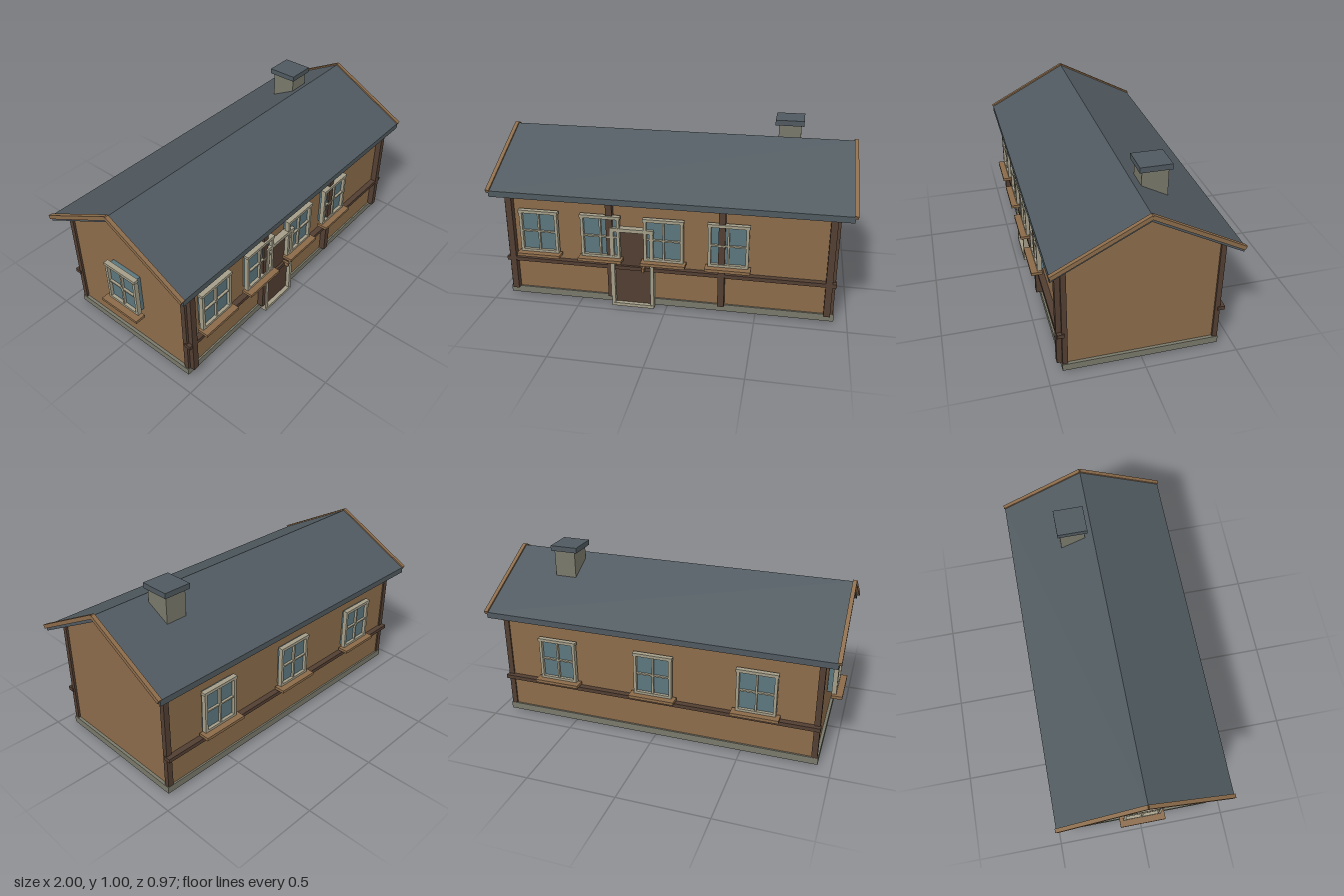
import * as THREE from 'three';

const mat = (name, color) => {
  const m = new THREE.MeshStandardMaterial({ color });
  m.name = name;
  return m;
};

export function createModel() {
  const house = new THREE.Group();
  house.name = 'cottage';

  const wood = mat('warm brown wood', 0x8b6b4a);
  const timber = mat('dark timber', 0x523e32);
  const slate = mat('slate', 0x4f595f);
  const stone = mat('grey stone', 0x78786a);
  const trim = mat('pale trim', 0xa39d88);
  const glass = mat('blue glass', 0x5b767e);

  // Box given by its extents along each axis
  const box = (parent, name, m, [x0, x1], [y0, y1], [z0, z1]) => {
    const mesh = new THREE.Mesh(new THREE.BoxGeometry(x1 - x0, y1 - y0, z1 - z0), m);
    mesh.position.set((x0 + x1) / 2, (y0 + y1) / 2, (z0 + z1) / 2);
    mesh.name = name;
    parent.add(mesh);
    return mesh;
  };

  // Gable section in (z, y), extruded along x and centred
  const gable = (name, m, points, length) => {
    const shape = new THREE.Shape(points.map(([z, y]) => new THREE.Vector2(z, y)));
    const geo = new THREE.ExtrudeGeometry(shape, { depth: length, bevelEnabled: false });
    geo.translate(0, 0, -length / 2);
    geo.rotateY(-Math.PI / 2);
    const mesh = new THREE.Mesh(geo, m);
    mesh.name = name;
    house.add(mesh);
  };

  // Walls and foundation
  gable('walls', wood, [[-0.41, 0.009], [0.41, 0.009], [0.41, 0.66], [0, 0.88], [-0.41, 0.66]], 1.82);
  box(house, 'foundation', stone, [-0.927, 0.927], [0.01, 0.05], [-0.42, 0.42]);

  // Roof with plumb-cut eaves
  gable('roof', slate, [[0, 0.88], [0.48, 0.628], [0.48, 0.662], [0, 0.915], [-0.48, 0.662], [-0.48, 0.628]], 1.97);

  // Bargeboards on both gable ends
  const slope = Math.atan(0.527);
  for (const sx of [-1, 1]) {
    for (const sz of [-1, 1]) {
      const board = box(house, 'bargeboard', wood, [-0.011, 0.011], [-0.011, 0.011], [-0.2725, 0.2725]);
      board.position.set(sx * 0.989, 0.7855, sz * 0.2395);
      board.rotation.x = sz * slope;
    }
  }

  // Chimney
  box(house, 'chimneyStack', stone, [0.56, 0.685], [0.7, 0.97], [-0.185, -0.045]);
  box(house, 'chimneyCap', slate, [0.54, 0.7], [0.97, 1], [-0.2, -0.03]);

  // Corner posts, front posts and horizontal rails
  for (const sx of [-1, 1]) {
    for (const sz of [-1, 1]) {
      const xs = [sx * 0.89, sx * 0.922].sort((a, b) => a - b);
      const zs = [sz * 0.39, sz * 0.418].sort((a, b) => a - b);
      box(house, 'cornerPost', timber, xs, [0.05, 0.656], zs);
    }
  }
  for (const x of [-0.89, -0.314, 0.309, 0.888]) {
    box(house, 'frontPost', timber, [x - 0.018, x + 0.018], [0.05, 0.655], [0.405, 0.445]);
  }
  box(house, 'frontRail', timber, [-0.927, 0.927], [0.228, 0.25], [0.405, 0.443]);
  box(house, 'backRail', timber, [-0.927, 0.927], [0.228, 0.25], [-0.443, -0.405]);

  // Window facing local +z, its frame standing on the sill at y = 0
  const addWindow = (x, y, z, turn, sillHalf) => {
    const w = new THREE.Group();
    w.name = 'window';
    box(w, 'glass', glass, [-0.1, 0.1], [0.005, 0.24], [-0.03, 0.004]);
    for (const s of [-1, 1]) {
      box(w, 'jamb', trim, [s * 0.102 - 0.008, s * 0.102 + 0.008], [0, 0.235], [-0.004, 0.022]);
    }
    box(w, 'head', trim, [-0.114, 0.114], [0.233, 0.25], [-0.004, 0.025]);
    box(w, 'bottomRail', trim, [-0.1, 0.1], [0, 0.014], [-0.004, 0.022]);
    box(w, 'mullion', trim, [-0.005, 0.005], [0.01, 0.235], [-0.004, 0.018]);
    box(w, 'crossbar', trim, [-0.1, 0.1], [0.12, 0.128], [-0.004, 0.018]);
    box(w, 'sill', wood, [-sillHalf, sillHalf], [-0.017, 0], [-0.004, 0.058]);
    w.position.set(x, y, z);
    w.rotation.y = turn;
    house.add(w);
  };
  for (const x of [-0.72, -0.365, -0.01, 0.345]) addWindow(x, 0.3, 0.43, 0, 0.124);
  for (const x of [-0.58, 0, 0.575]) addWindow(x, 0.28, -0.428, Math.PI, 0.132);
  addWindow(-0.942, 0.28, 0, -Math.PI / 2, 0.132);

  // Door with frame, threshold and handle
  const door = new THREE.Group();
  door.name = 'door';
  box(door, 'doorLeaf', timber, [-0.295, -0.08], [0.018, 0.47], [0.405, 0.429]);
  for (const x of [-0.299, -0.077]) {
    box(door, 'doorJamb', trim, [x - 0.01, x + 0.01], [0.003, 0.47], [0.415, 0.451]);
  }
  box(door, 'doorHead', trim, [-0.312, -0.065], [0.462, 0.482], [0.415, 0.453]);
  box(door, 'threshold', trim, [-0.309, -0.067], [0, 0.018], [0.415, 0.453]);
  box(door, 'doorHandle', wood, [-0.131, -0.117], [0.23, 0.256], [0.425, 0.467]);
  house.add(door);

  return house;
}
